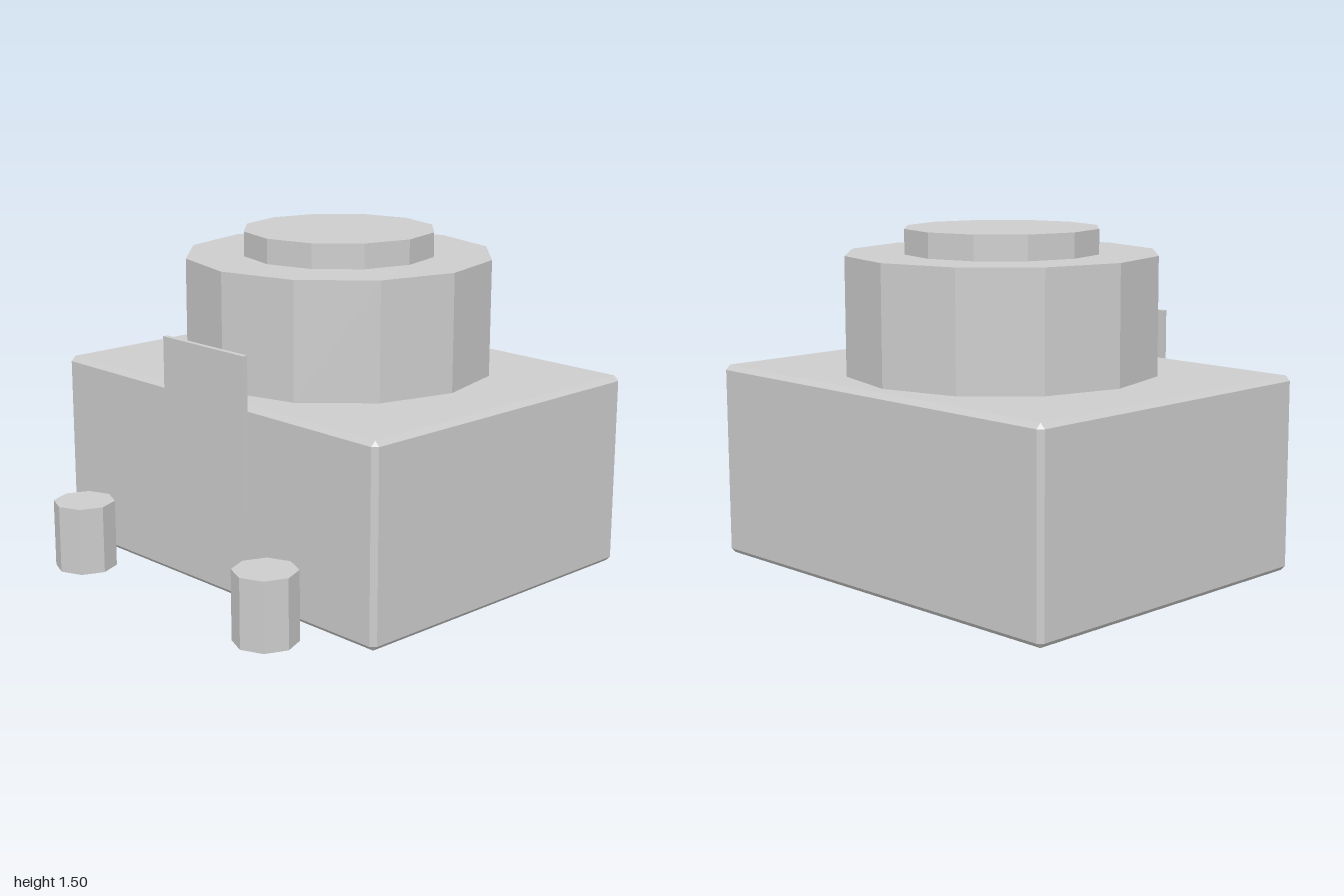
import * as THREE from 'three';
import { ConvexGeometry } from 'three/addons/geometries/ConvexGeometry.js';

const grey = new THREE.MeshStandardMaterial({ color: 0xcccccc });
grey.name = 'grey';
grey.flatShading = true;

// Box with every edge cut by a single flat chamfer
function chamferBox(w, h, d, c) {
  const points = [];
  for (const x of [-w / 2, w / 2])
    for (const y of [-h / 2, h / 2])
      for (const z of [-d / 2, d / 2]) {
        const ix = x - Math.sign(x) * c;
        const iy = y - Math.sign(y) * c;
        const iz = z - Math.sign(z) * c;
        points.push(
          new THREE.Vector3(x, iy, iz),
          new THREE.Vector3(ix, y, iz),
          new THREE.Vector3(ix, iy, z)
        );
      }
  return new ConvexGeometry(points);
}

export function createModel() {
  const model = new THREE.Group();
  model.name = 'model';

  const add = (name, geometry, x, y, z) => {
    const mesh = new THREE.Mesh(geometry, grey);
    mesh.name = name;
    mesh.position.set(x, y, z);
    model.add(mesh);
  };
  // Faceted upright cylinder standing between two heights
  const addCylinder = (name, radius, sides, bottom, top, x, z) =>
    add(name, new THREE.CylinderGeometry(radius, radius, top - bottom, sides), x, (bottom + top) / 2, z);

  // Main block
  add('body', chamferBox(2, 0.87, 1.56, 0.022), 0, 0.435, -0.18);

  // Drum and its raised lid
  addCylinder('drum', 0.693, 12, 0.87, 1.39, 0, -0.18);
  addCylinder('lid', 0.433, 12, 1.39, 1.5, 0, -0.18);

  // Thin plate on the front
  add('frontPlate', new THREE.BoxGeometry(0.52, 0.69, 0.024), 0, 0.742, 0.612);

  // Free-standing posts in front of the block
  for (const side of [-1, 1])
    addCylinder(side > 0 ? 'leftPost' : 'rightPost', 0.138, 8, 0, 0.305, side * 0.608, 0.82);

  return model;
}
